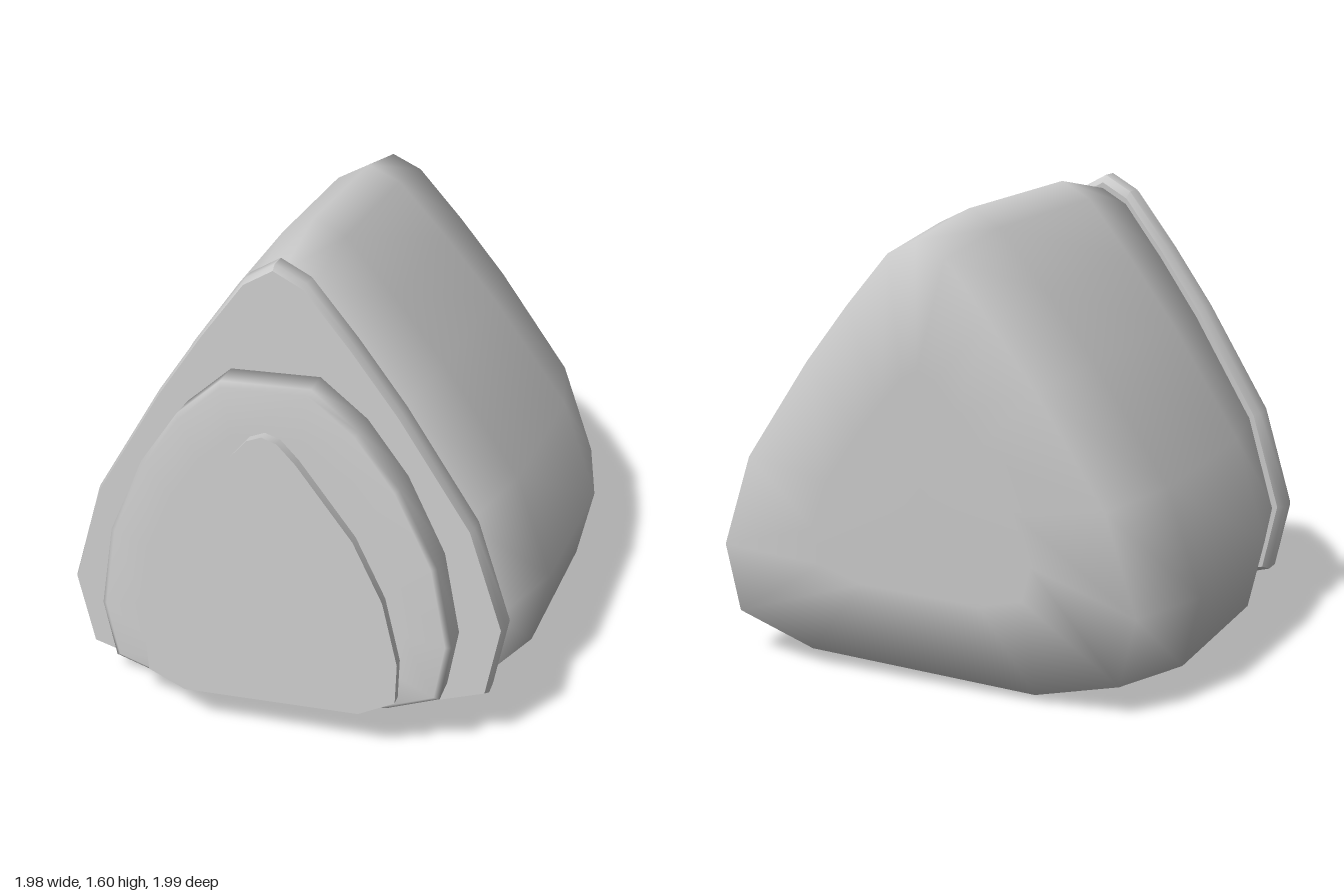
import * as THREE from 'three';
import { toCreasedNormals } from 'three/addons/utils/BufferGeometryUtils.js';

const CENTRE_X = 0.035;

// Right half of each rounded triangle, from the top down
const SHELL = [[0, 1.57], [0.1, 1.515], [0.25, 1.325], [0.405, 1.11], [0.64, 0.735], [0.747, 0.39], [0.695, 0.145], [0.41, 0.055]];
const PANEL = [[0.148, 1.217], [0.3, 1.09], [0.43, 0.91], [0.55, 0.65], [0.598, 0.37], [0.56, 0.175], [0.38, 0.112]];
const INSET = [[0, 1.063], [0.05, 1.045], [0.11, 0.98], [0.29, 0.735], [0.385, 0.53], [0.432, 0.31], [0.424, 0.17], [0.3, 0.11]];

// Mirrors a half profile into a closed loop, counter-clockwise from the front
function closedLoop(half) {
  const left = half.filter(([x]) => x > 0).map(([x, y]) => [-x, y]);
  return [...half].reverse().concat(left);
}

// Lofts the profile through sections [z, width scale, bottom y, top y], back to front
function loft(half, sections) {
  const loop = closedLoop(half);
  const n = loop.length;
  const ys = half.map((p) => p[1]);
  const low = Math.min(...ys);
  const high = Math.max(...ys);
  const positions = [];
  const index = [];
  for (const [z, scale, bottom, top] of sections) {
    for (const [x, y] of loop) {
      positions.push(CENTRE_X + x * scale, bottom + ((y - low) / (high - low)) * (top - bottom), z);
    }
  }
  for (let k = 0; k < sections.length - 1; k++) {
    for (let i = 0; i < n; i++) {
      const j = (i + 1) % n;
      const a = k * n + i, b = k * n + j;
      index.push(a, b, b + n, a, b + n, a + n);
    }
  }
  // End caps
  const last = (sections.length - 1) * n;
  const back = positions.length / 3;
  for (const [z, , bottom, top] of [sections[0], sections[sections.length - 1]]) {
    positions.push(CENTRE_X, bottom + (top - bottom) * 0.4, z);
  }
  for (let i = 0; i < n; i++) {
    const j = (i + 1) % n;
    index.push(back, j, i, back + 1, last + i, last + j);
  }
  const geometry = new THREE.BufferGeometry();
  geometry.setAttribute('position', new THREE.Float32BufferAttribute(positions, 3));
  geometry.setIndex(index);
  geometry.computeVertexNormals();
  return geometry;
}

export function createModel() {
  const model = new THREE.Group();
  model.name = 'triangularPod';
  const material = new THREE.MeshStandardMaterial({ color: 0xcccccc });

  const add = (name, geometry) => {
    const mesh = new THREE.Mesh(geometry, material);
    mesh.name = name;
    model.add(mesh);
  };

  // Bulging body with a softly shaded flat back
  add('body', loft(SHELL, [
    [-0.705, 0.55, 0.35, 1.1],
    [-0.70, 1.045, 0.085, 1.525],
    [-0.36, 1.14, 0.043, 1.58],
    [0.3, 1.085, 0.03, 1.59],
    [0.65, 0.94, 0.07, 1.52],
  ]));

  // Rim plate with bevelled edges
  add('frontRim', toCreasedNormals(loft(SHELL, [
    [0.63, 0.975, 0.07, 1.545],
    [0.655, 1, 0.055, 1.57],
    [0.715, 1, 0.055, 1.57],
    [0.74, 0.985, 0.065, 1.555],
  ]), 0.8));

  // Raised panel, softly shaded over its edge
  add('frontPanel', loft(PANEL, [
    [0.72, 1, 0.112, 1.217],
    [0.845, 1, 0.112, 1.217],
    [0.86, 0.97, 0.125, 1.2],
    [0.862, 0.75, 0.2, 1.04],
  ]));

  // Thin inner plate
  add('innerPlate', toCreasedNormals(loft(INSET, [
    [0.84, 1, 0.11, 1.063],
    [0.9, 1, 0.11, 1.063],
  ]), 0.8));

  // The whole pod is turned and leans slightly
  model.rotation.set(-0.06, THREE.MathUtils.degToRad(25), 0.035, 'YXZ');
  return model;
}
